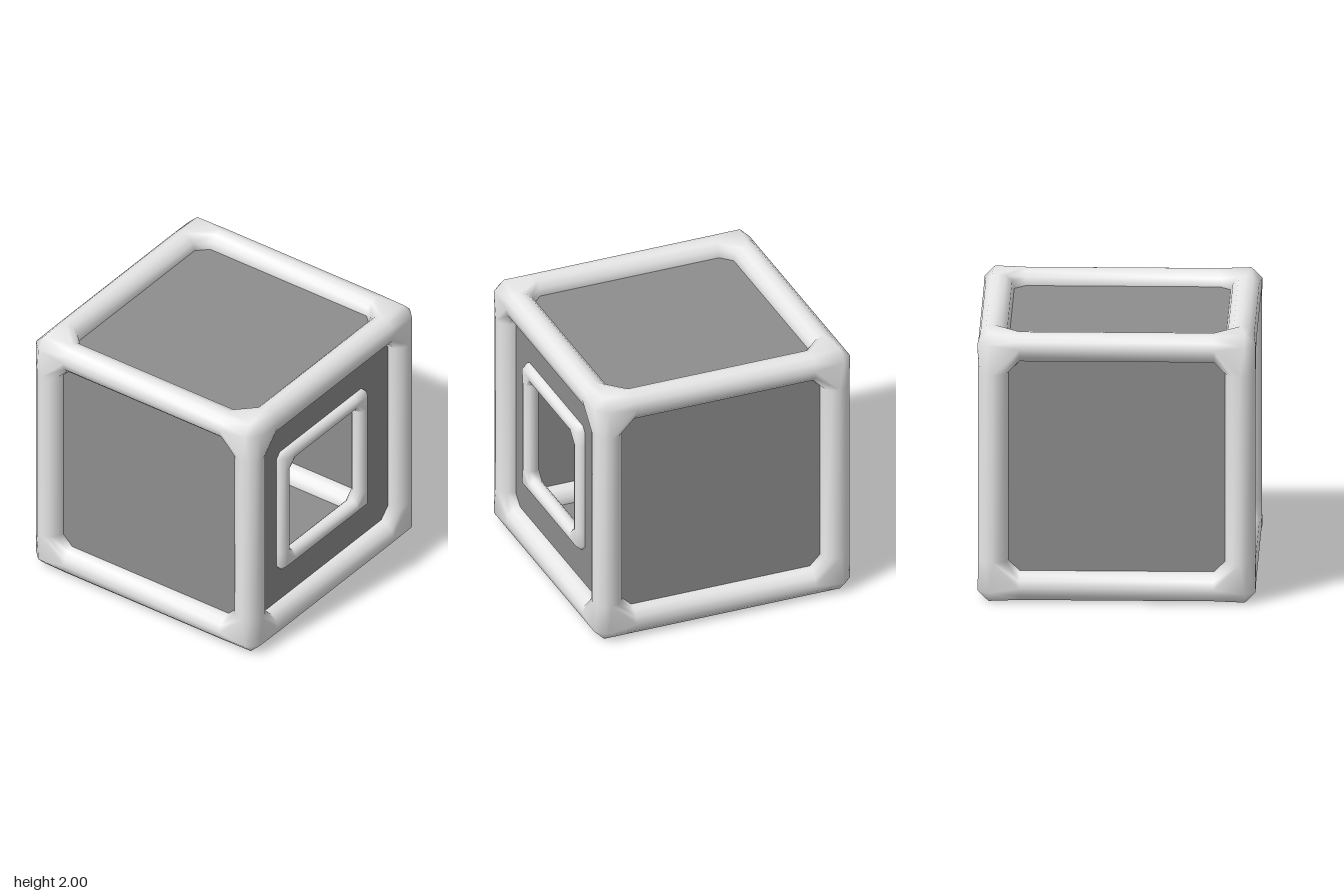
import * as THREE from 'three';
import { mergeVertices } from 'three/addons/utils/BufferGeometryUtils.js';
import { ConvexGeometry } from 'three/addons/geometries/ConvexGeometry.js';

const SIDES = 12;
const E = 0.89; // half distance between bar centre lines

// Circle of points around one axis (0 = x, 1 = y, 2 = z)
function ring(centre, axis, radius) {
  return Array.from({ length: SIDES }, (_, i) => {
    const t = (i / SIDES) * Math.PI * 2;
    const p = centre.clone();
    const b = (axis + 1) % 3, c = (axis + 2) % 3;
    p.setComponent(b, p.getComponent(b) + radius * Math.cos(t));
    p.setComponent(c, p.getComponent(c) + radius * Math.sin(t));
    return p;
  });
}

// Round bars along the edges of a box (or flat rectangle) joined by bevelled hubs
function barFrame(centre, half, axes, radius, reach) {
  const pos = [];
  const push = (...pts) => pts.forEach((p) => pos.push(p.x, p.y, p.z));
  const k = radius * 0.3;
  const signSets = [0, 1, 2].map((a) => (axes.includes(a) ? [-1, 1] : [1]));

  for (const sx of signSets[0]) for (const sy of signSets[1]) for (const sz of signSets[2]) {
    const s = [sx, sy, sz];
    const at = new THREE.Vector3(...s).multiply(half).add(centre);

    // hub: hull of the bar ends and the cut outer corner
    const pts = [];
    for (const a of axes) {
      pts.push(...ring(new THREE.Vector3().setComponent(a, -s[a] * reach), a, radius));
    }
    const flat = [0, 1, 2].find((a) => !axes.includes(a));
    for (const f of flat === undefined ? [0] : [-1, 1]) {
      for (let a = 0; a < 3; a++) {
        const p = new THREE.Vector3();
        for (let b = 0; b < 3; b++) {
          p.setComponent(b, (b === flat ? f : s[b]) * (a === b ? radius : k));
        }
        pts.push(p);
      }
    }
    const hull = new ConvexGeometry(pts).getAttribute('position');
    for (let i = 0; i < hull.count; i += 3) {
      const tri = [0, 1, 2].map((j) => new THREE.Vector3().fromBufferAttribute(hull, i + j));
      // leave the hub open where a bar continues
      const cap = axes.some((a) => tri.every((p) => Math.abs(p.getComponent(a) + s[a] * reach) < 1e-5));
      if (!cap) push(...tri.map((p) => p.add(at)));
    }

    // bars, each started from its lower end
    for (const a of axes) {
      if (s[a] > 0) continue;
      const start = at.clone().setComponent(a, at.getComponent(a) + reach);
      const end = at.clone().setComponent(a, at.getComponent(a) + 2 * half.getComponent(a) - reach);
      const lo = ring(start, a, radius), hi = ring(end, a, radius);
      for (let i = 0; i < SIDES; i++) {
        const n = (i + 1) % SIDES;
        push(lo[i], lo[n], hi[n], lo[i], hi[n], hi[i]);
      }
    }
  }
  const raw = new THREE.BufferGeometry();
  raw.setAttribute('position', new THREE.Float32BufferAttribute(pos, 3));
  const geo = mergeVertices(raw, 1e-4);
  geo.computeVertexNormals();
  return geo;
}

export function createModel() {
  const group = new THREE.Group();
  group.name = 'framedCube';
  const frameMat = new THREE.MeshStandardMaterial({ color: 0xe7e7e7 });
  frameMat.name = 'lightFrame';
  const panelMat = new THREE.MeshStandardMaterial({ color: 0x8e8e8e, side: THREE.DoubleSide });
  panelMat.name = 'greyPanel';

  const add = (name, geo, mat) => {
    const mesh = new THREE.Mesh(geo, mat);
    mesh.name = name;
    group.add(mesh);
    return mesh;
  };

  // Outer frame of twelve bars
  add('cubeFrame', barFrame(new THREE.Vector3(0, 1, 0), new THREE.Vector3(E, E, E), [0, 1, 2], 0.11, 0.19), frameMat);

  // Window frame around the front opening
  const x0 = -0.51, x1 = 0.438, y0 = 0.546, y1 = 1.459;
  add('windowFrame', barFrame(
    new THREE.Vector3((x0 + x1) / 2, (y0 + y1) / 2, E),
    new THREE.Vector3((x1 - x0) / 2, (y1 - y0) / 2, 0), [0, 1], 0.058, 0.1), frameMat);

  // Front panel with the window opening
  const shape = new THREE.Shape([[-E, -E], [E, -E], [E, E], [-E, E]].map((p) => new THREE.Vector2(...p)));
  shape.holes.push(new THREE.Path(
    [[x0, y0], [x0, y1], [x1, y1], [x1, y0]].map(([x, y]) => new THREE.Vector2(x, y - 1))));
  add('frontPanel', new THREE.ShapeGeometry(shape), panelMat).position.set(0, 1, E);

  // Plain panels on the other five sides
  const sides = [
    ['backPanel', 0, Math.PI], ['leftPanel', 0, Math.PI / 2], ['rightPanel', 0, -Math.PI / 2],
    ['topPanel', -Math.PI / 2, 0], ['bottomPanel', Math.PI / 2, 0],
  ];
  for (const [name, rx, ry] of sides) {
    const panel = add(name, new THREE.PlaneGeometry(2 * E, 2 * E), panelMat);
    panel.rotation.set(rx, ry, 0);
    panel.position.set(0, 1, 0);
    panel.translateZ(E);
  }
  return group;
}
